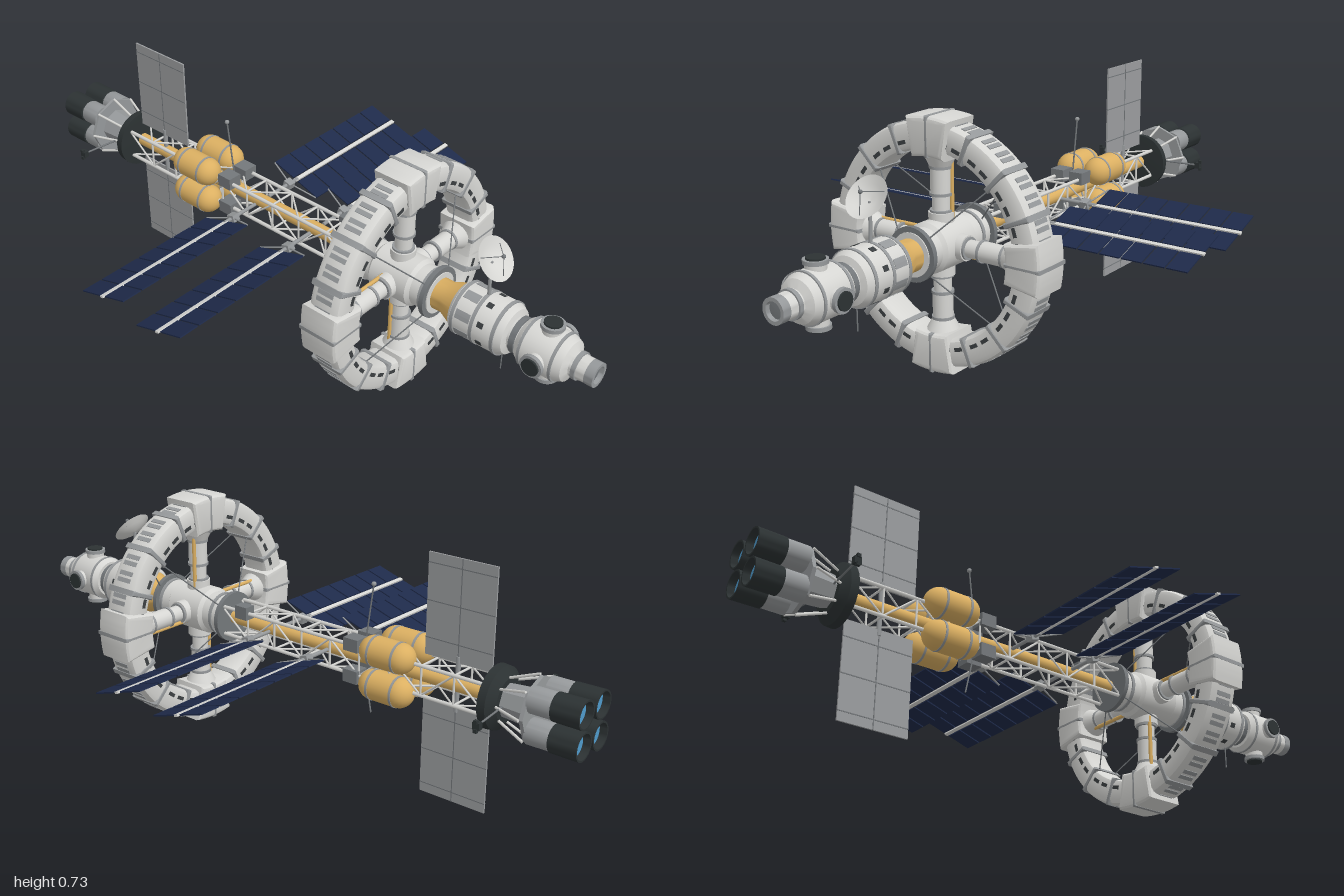
import * as THREE from 'three';
import { toCreasedNormals } from 'three/addons/utils/BufferGeometryUtils.js';

const mat = (name, color, side = THREE.FrontSide) => {
  const m = new THREE.MeshStandardMaterial({ color, side });
  m.name = name;
  return m;
};

export function createModel() {
  const white = mat('hull white', 0xd6d6d3, THREE.DoubleSide);
  const grey = mat('panel grey', 0x96999b);
  const steel = mat('steel grey', 0x74787b);
  const dark = mat('engine black', 0x2c3233);
  const slot = mat('window dark', 0x3c4042);
  const gold = mat('gold foil', 0xdcb062);
  const blue = mat('solar blue', 0x1e2a4a);
  const glow = mat('nozzle blue', 0x4f9acb);
  const radiatorGrey = mat('radiator grey', 0x9b9d9f);

  const root = new THREE.Group();
  root.name = 'spaceStation';
  const AXIS = 0.363, V = (x, y, z) => new THREE.Vector3(x, y, z);

  const group = (name, parent = root) => {
    const g = new THREE.Group();
    g.name = name;
    parent.add(g);
    return g;
  };
  const add = (name, geo, material, parent, x = 0, y = 0, z = 0) => {
    const m = new THREE.Mesh(geo, material);
    m.name = name;
    m.position.set(x, y, z);
    parent.add(m);
    return m;
  };
  const box = (name, w, h, d, material, parent, x, y, z) =>
    add(name, new THREE.BoxGeometry(w, h, d), material, parent, x, y, z);
  // Turned part along z, from [radius, z] points
  const turned = (name, pts, material, parent, x = 0, y = 0, seg = 32) => {
    const geo = new THREE.LatheGeometry(pts.map(p => new THREE.Vector2(p[0], p[1])), seg);
    return add(name, toCreasedNormals(geo.rotateX(Math.PI / 2), 0.6), material, parent, x, y, 0);
  };
  // Round bar between two points
  const rod = (name, a, b, r, material, parent, seg = 6) => {
    const d = b.clone().sub(a);
    const m = add(name, new THREE.CylinderGeometry(r, r, d.length(), seg), material, parent);
    m.position.copy(a).add(b).multiplyScalar(0.5);
    m.quaternion.setFromUnitVectors(V(0, 1, 0), d.normalize());
    return m;
  };
  // Block bent around the z axis; the bevel must stay below half * r1
  const sector = (name, r0, r1, z0, z1, mid, half, bevel, material, parent) => {
    const s = new THREE.Shape(), k = bevel / r1;
    s.absarc(0, 0, r1 - bevel, mid - half + k, mid + half - k, false);
    s.absarc(0, 0, r0 + bevel, mid + half - k, mid - half + k, true);
    const geo = new THREE.ExtrudeGeometry(s, {
      depth: z1 - z0 - 2 * bevel, curveSegments: 8, bevelEnabled: bevel > 0,
      bevelSize: bevel, bevelThickness: bevel, bevelSegments: 3 });
    return add(name, toCreasedNormals(geo, 0.5), material, parent, 0, 0, z0 + bevel);
  };

  const station = group('station');
  station.position.y = AXIS;

  // Habitat ring
  const ring = group('habitatRing', station);
  ring.position.z = 0.367;
  turned('ringTube', [[0.283, -0.051], [0.327, -0.051], [0.339, -0.046], [0.345, -0.034], [0.345, 0.034],
    [0.339, 0.046], [0.327, 0.051], [0.283, 0.051], [0.271, 0.046], [0.265, 0.034], [0.265, -0.034],
    [0.271, -0.046], [0.283, -0.051]], white, ring, 0, 0, 96);
  for (let q = 0; q < 4; q++) {
    const a = q * Math.PI / 2, step = Math.PI / 8;
    sector('ringJunction', 0.25, 0.362, -0.062, 0.062, a, 0.205, 0.014, white, ring);
    sector('junctionBand', 0.249, 0.363, -0.063, 0.063, a, 0.016, 0.005, grey, ring);
    for (let i = 1; i < 4; i++)
      sector('ringRib', 0.262, 0.348, -0.054, 0.054, a + i * step, 0.024, 0.007, grey, ring);
    for (let i = 0; i < 4; i++) for (const o of [-0.075, 0.075]) {
      const c = a + (i + 0.5) * step + o + (i === 0 ? 0.045 : i === 3 ? -0.045 : 0);
      for (const s of [-1, 1])
        sector('ringWindow', 0.286, 0.297, s * 0.0515 - 0.001, s * 0.0515 + 0.001, c, 0.045, 0, slot, ring);
      for (const d of [-0.03, 0.03])
        sector('rimPanel', 0.343, 0.347, -0.026, 0.026, c + d, 0.019, 0, grey, ring);
    }
    // Spoke with collars and a supply pipe
    const spoke = group('spoke', ring);
    spoke.rotation.z = -a;
    rod('spokeTube', V(0, 0.05, 0), V(0, 0.27, 0), 0.025, white, spoke, 20);
    rod('spokeSleeve', V(0, 0.14, 0), V(0, 0.215, 0), 0.029, white, spoke, 20);
    rod('spokeRoot', V(0, 0.05, 0), V(0, 0.09, 0), 0.036, white, spoke, 20);
    for (const y of [0.092, 0.14, 0.215]) rod('spokeCollar', V(0, y - 0.004, 0), V(0, y + 0.004, 0), 0.032, grey, spoke, 20);
    add('spokeFoot', new THREE.CylinderGeometry(0.05, 0.031, 0.038, 20), white, spoke, 0, 0.237, 0);
    rod('supplyPipe', V(0.028, 0.07, -0.012), V(0.028, 0.25, -0.012), 0.006, gold, spoke, 8);
    // Bracing cables
    const b = a + Math.PI / 4, c = Math.cos(b), s = Math.sin(b);
    for (const e of [-1, 1])
      rod('cable', V(0.06 * c, 0.06 * s, e * 0.125), V(0.268 * c, 0.268 * s, e * 0.03), 0.002, steel, ring);
  }

  // Hub
  const hub = group('hub', station);
  turned('hubBody', [[0, 0.22], [0.062, 0.22], [0.062, 0.295], [0.072, 0.305], [0.072, 0.43], [0.062, 0.44],
    [0.062, 0.5], [0, 0.5]], white, hub);
  for (const z of [0.222, 0.49]) turned('hubFlange', [[0, z - 0.007], [0.077, z - 0.007], [0.077, z + 0.007], [0, z + 0.007]], steel, hub);
  for (const z of [0.26, 0.475]) turned('hubBand', [[0.06, z - 0.005], [0.066, z - 0.005], [0.066, z + 0.005], [0.06, z + 0.005]], grey, hub);

  // Forward modules
  const bow = group('forwardModules', station);
  turned('goldAdapter', [[0, 0.495], [0.046, 0.495], [0.046, 0.53], [0.068, 0.58], [0, 0.58]], gold, bow);
  turned('labModule', [[0, 0.575], [0.068, 0.575], [0.077, 0.585], [0.077, 0.725], [0.066, 0.745], [0.048, 0.75],
    [0.048, 0.785], [0, 0.785]], white, bow);
  for (const z of [0.592, 0.655, 0.722]) turned('labBand', [[0.075, z - 0.005], [0.079, z - 0.005], [0.079, z + 0.005], [0.075, z + 0.005]], grey, bow);
  turned('neckRing', [[0.045, 0.758], [0.053, 0.758], [0.053, 0.774], [0.045, 0.774]], steel, bow);
  for (let i = 0; i < 8; i++) {
    const a = (i + 0.5) * Math.PI / 4;
    sector('labPanel', 0.074, 0.0785, 0.602, 0.647, a, 0.17, 0, grey, bow);
    sector('labWindow', 0.074, 0.0785, 0.672, 0.69, a, 0.1, 0, slot, bow);
  }
  turned('dockingNode', [[0, 0.78], [0.058, 0.78], [0.069, 0.795], [0.069, 0.895], [0.058, 0.92], [0.036, 0.93],
    [0.034, 0.985], [0, 0.985]], white, bow);
  for (const z of [0.8, 0.895]) turned('nodeBand', [[0.066, z - 0.004], [0.071, z - 0.004], [0.071, z + 0.004], [0.066, z + 0.004]], grey, bow);
  turned('dockingRing', [[0.022, 0.975], [0.035, 0.975], [0.035, 1], [0.025, 1], [0.022, 0.975]], grey, bow);
  turned('dockingHatch', [[0.024, 0.988], [0, 0.99]], steel, bow);
  turned('dockingCollar', [[0.03, 0.938], [0.04, 0.938], [0.04, 0.95], [0.03, 0.95]], grey, bow);
  for (let q = 0; q < 4; q++) {
    const port = group('sidePort', bow);
    port.position.z = 0.853;
    port.rotation.z = q * Math.PI / 2;
    rod('portTube', V(0, 0.05, 0), V(0, 0.085, 0), 0.028, white, port, 20);
    rod('portRim', V(0, 0.079, 0), V(0, 0.09, 0), 0.033, grey, port, 20);
    rod('portHatch', V(0, 0.085, 0), V(0, 0.095, 0), 0.025, dark, port, 20);
  }

  // Dish antenna
  rod('dishMast', V(0, 0.07, 0.655), V(0, 0.185, 0.652), 0.005, grey, bow, 8);
  const dish = group('dish', bow);
  dish.position.set(0, 0.2, 0.665);
  dish.rotation.x = 0.88;
  add('dishBowl', new THREE.LatheGeometry([[0, -0.02], [0.02, -0.018], [0.04, -0.011], [0.062, 0]]
    .map(p => new THREE.Vector2(...p)), 32), white, dish);
  for (let i = 0; i < 3; i++) {
    const a = i * Math.PI * 2 / 3 + Math.PI / 2;
    rod('feedStrut', V(0.05 * Math.cos(a), -0.006, 0.05 * Math.sin(a)), V(0, 0.028, 0), 0.0012, steel, dish);
  }
  add('dishFeed', new THREE.SphereGeometry(0.006, 10, 8), steel, dish, 0, 0.028, 0);
  rod('whipAntenna', V(0, -0.07, 0.715), V(0, -0.145, 0.715), 0.002, steel, bow);

  // Truss with the gold central pipe
  const truss = group('truss', station), H = 0.043, Z0 = 0.225, N = 9, L = 0.945 / N;
  rod('centralPipe', V(0, 0, 0.225), V(0, 0, -0.73), 0.02, gold, truss, 16);
  const corners = [[H, H], [-H, H], [-H, -H], [H, -H]];
  corners.forEach(([x, y], k) => {
    const [u, v] = corners[(k + 1) % 4];
    rod('longeron', V(x, y, Z0), V(x, y, -0.72), 0.006, white, truss);
    for (let i = 0; i <= N; i++) {
      const z = Z0 - i * L;
      rod('crossBar', V(x, y, z), V(u, v, z), 0.0035, white, truss);
      if (i === N) continue;
      const [p, r] = i % 2 ? [z, z - L] : [z - L, z];
      rod('diagonal', V(x, y, p), V(u, v, r), 0.003, white, truss);
    }
  });
  for (const s of [-1, 1]) {
    for (const x of [-0.034, 0.034]) box('equipmentBox', 0.046, 0.038, 0.05, steel, truss, x, s * 0.047, -0.278);
    rod('mast', V(0, s * 0.05, -0.29), V(0, s * (s > 0 ? 0.22 : 0.165), -0.313), 0.0025, steel, truss);
  }
  add('mastTip', new THREE.SphereGeometry(0.007, 10, 8), grey, truss, 0, 0.22, -0.313);
  box('equipmentBox', 0.035, 0.04, 0.045, steel, truss, 0.04, 0.045, 0.137);

  // Propellant tanks
  for (const [x, y] of corners) {
    const tank = group('tank', station);
    tank.position.set(x * 1.16, y * 1.16, -0.402);
    add('tankShell', new THREE.CapsuleGeometry(0.044, 0.086, 8, 24).rotateX(Math.PI / 2), gold, tank);
    for (const z of [-0.04, 0.04])
      add('tankBand', new THREE.CylinderGeometry(0.0455, 0.0455, 0.007, 24).rotateX(Math.PI / 2), grey, tank, 0, 0, z);
  }

  // Solar wings
  for (const s of [-1, 1]) for (const z of [0.047, -0.175]) {
    const wing = group('solarWing', station);
    wing.position.z = z;
    wing.rotation.x = s * 0.31;
    rod('wingArm', V(s * 0.03, 0, 0), V(s * 0.16, 0, 0), 0.006, grey, wing, 8);
    box('wingJoint', 0.025, 0.022, 0.026, grey, wing, s * 0.122, 0, 0);
    box('wingSpar', 0.485, 0.006, 0.012, white, wing, s * 0.391, 0, 0);
    for (const e of [-1, 1]) {
      rod('wingBrace', V(s * 0.125, 0, 0), V(s * 0.15, 0, e * 0.09), 0.0025, grey, wing);
      for (let i = 0; i < 7; i++)
        box('solarCell', 0.063, 0.004, 0.081, blue, wing, s * (0.1845 + i * 0.0688), 0, e * 0.051);
    }
  }

  // Radiators above and below
  for (const s of [-1, 1]) {
    const rad = group('radiator', station);
    rod('radiatorArm', V(0, s * 0.01, -0.598), V(0, s * 0.08, -0.598), 0.007, grey, rad, 8);
    box('radiatorPanel', 0.005, 0.288, 0.212, radiatorGrey, rad, 0, s * 0.206, -0.598);
    box('radiatorSeam', 0.007, 0.288, 0.003, steel, rad, 0, s * 0.206, -0.598);
    for (const y of [0.112, 0.217, 0.322]) box('radiatorSeam', 0.007, 0.003, 0.212, steel, rad, 0, s * y, -0.598);
  }

  // Engine section
  const stern = group('engineSection', station);
  turned('shadowShield', [[0, -0.757], [0.062, -0.757], [0.088, -0.738], [0.09, -0.715], [0, -0.708]], dark, stern);
  turned('thrustCore', [[0, -0.845], [0.056, -0.845], [0.048, -0.75], [0, -0.75]], grey, stern, 0, 0, 8);
  turned('thrustPlate', [[0, -0.853], [0.094, -0.853], [0.094, -0.842], [0, -0.842]], grey, stern, 0, 0, 8);
  for (let i = 0; i < 8; i++) {
    const a = i * Math.PI / 4, c = Math.cos(a), s = Math.sin(a);
    rod('thrustStrut', V(0.06 * c, 0.06 * s, -0.75), V(0.097 * c, 0.097 * s, -0.843), 0.004, white, stern);
  }
  for (const [x, y] of corners) {
    turned('engineBody', [[0, -0.925], [0.032, -0.925], [0.037, -0.91], [0.037, -0.85], [0, -0.85]], grey, stern, x, y, 20);
    turned('nozzle', [[0.03, -0.96], [0.035, -1], [0.04, -1], [0.039, -0.918], [0.026, -0.912]], dark, stern, x, y, 24);
    turned('nozzleGlow', [[0, -0.98], [0.035, -0.98]], glow, stern, x, y, 24);
  }
  for (const s of [-1, 1]) {
    rod('thrusterArm', V(s * 0.03, 0, -0.765), V(s * 0.185, 0, -0.781), 0.003, steel, stern);
    box('thrusterBlock', 0.016, 0.02, 0.02, dark, stern, s * 0.187, 0, -0.781);
    for (const e of [-1, 1]) box('thrusterJet', 0.01, 0.01, 0.01, dark, stern, s * 0.194, e * 0.012, -0.781);
  }
  return root;
}
